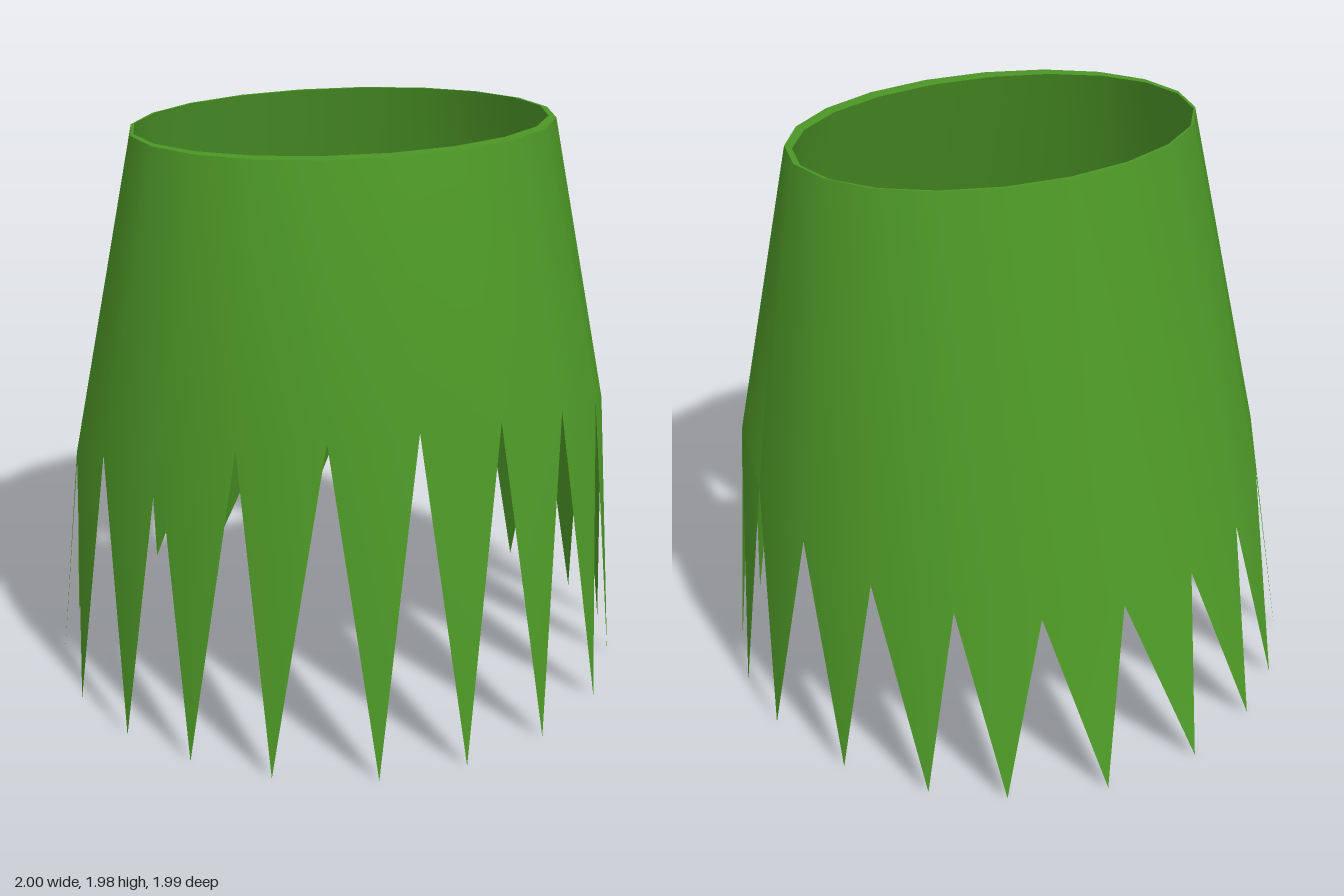
import * as THREE from 'three';

const N = 20;

// Elliptical ring of points; tilt raises the front and lowers the back
function ring(rx, rz, cz, y, tilt = 0) {
  return Array.from({ length: N }, (_, k) => {
    const a = (k / N) * Math.PI * 2;
    return [rx * Math.sin(a), y + tilt * Math.cos(a), cz + rz * Math.cos(a)];
  });
}

// Band between two rings, with optional pointed teeth hanging off the lower ring
function band(upper, lower, tips = []) {
  const index = [];
  for (let k = 0; k < N; k++) {
    const n = (k + 1) % N;
    index.push(k, N + k, N + n, k, N + n, n);
    if (tips.length) index.push(N + k, 2 * N + k, N + n);
  }
  const g = new THREE.BufferGeometry();
  g.setAttribute('position', new THREE.Float32BufferAttribute([...upper, ...lower, ...tips].flat(), 3));
  g.setIndex(index);
  g.computeVertexNormals();
  return g;
}

export function createModel() {
  const group = new THREE.Group();
  group.name = 'leafSkirt';
  const green = new THREE.MeshStandardMaterial({ color: 0x4c9626, side: THREE.DoubleSide });
  green.name = 'leafGreen';

  const waist = ring(0.73, 0.528, 0.085, 1.98);
  const waistInner = ring(0.715, 0.4925, 0.0625, 1.98);
  const hem = ring(0.945, 0.847, 0.02, 0.873, 0.283);

  // Slightly irregular leaf tips (x, z), running from the front around to +x
  const tips = [
    [0.14, 0.99], [0.45, 0.893], [0.733, 0.685], [0.915, 0.406], [1, 0.134],
    [1, -0.14], [0.89, -0.476], [0.695, -0.733], [0.476, -0.888], [0.15, -1],
    [-0.203, -0.993], [-0.497, -0.882], [-0.706, -0.722], [-0.888, -0.495], [-1, -0.157],
    [-0.995, 0.168], [-0.893, 0.465], [-0.727, 0.692], [-0.497, 0.872], [-0.166, 0.99],
  ].map(([x, z]) => [x, 0, z]);

  const add = (name, geometry) => {
    const mesh = new THREE.Mesh(geometry, green);
    mesh.name = name;
    group.add(mesh);
  };
  add('skirtWithLeafTips', band(waist, hem, tips));
  add('waistRim', band(waistInner, waist));
  // Lining faces inward
  add('lining', band(hem, waistInner));
  return group;
}
